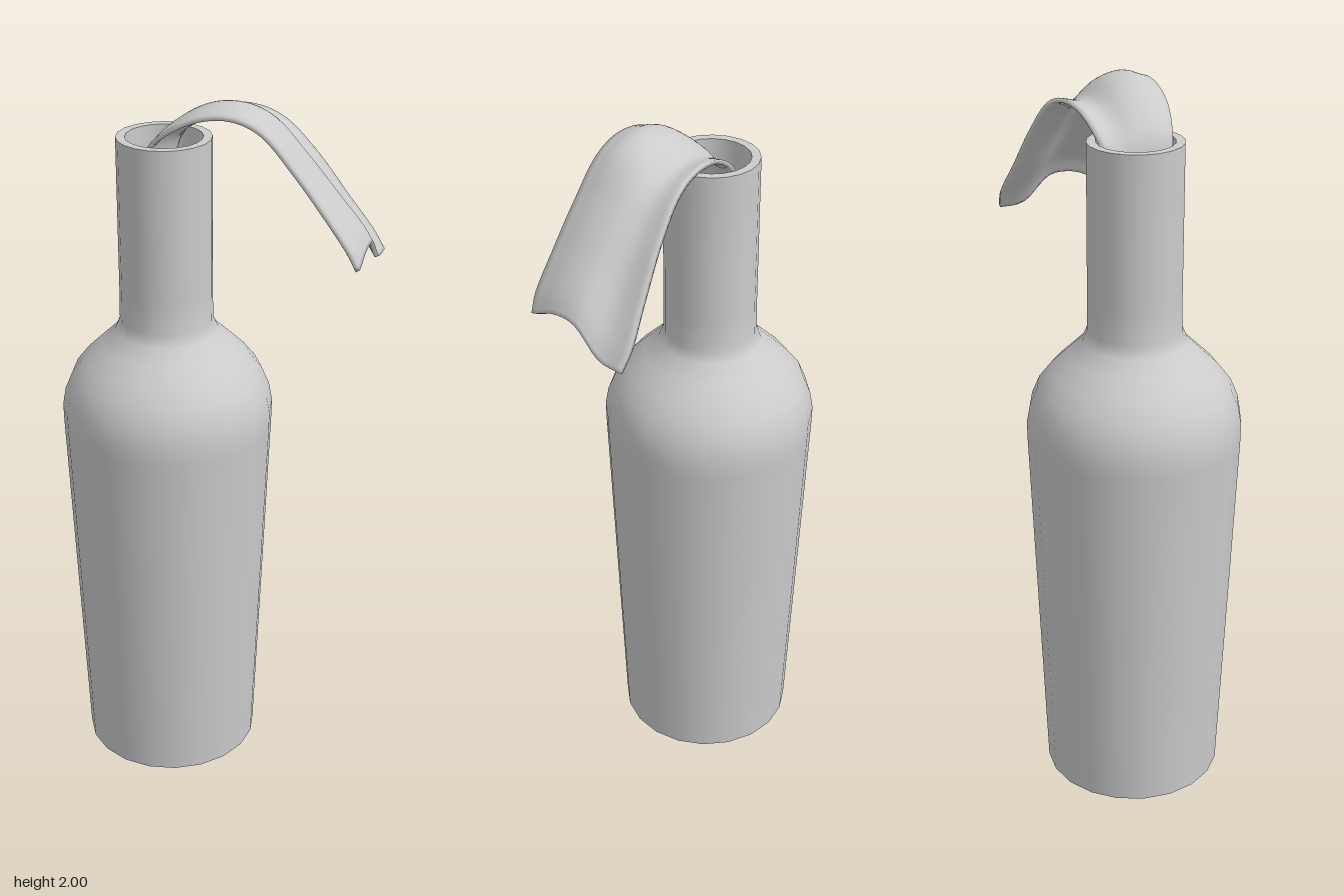
import * as THREE from 'three';

const AXIS_X = -0.137;
const material = new THREE.MeshStandardMaterial({ color: 0xcccccc });

// Lathe around the bottle axis; 20 sides with smooth shading
function turned(name, points) {
  const geometry = new THREE.LatheGeometry(points.map(([r, y]) => new THREE.Vector2(r, y)), 20);
  const mesh = new THREE.Mesh(geometry, material);
  mesh.name = name;
  mesh.position.x = AXIS_X;
  return mesh;
}

function createBottle() {
  const bottle = new THREE.Group();
  bottle.name = 'bottle';
  bottle.add(
    turned('base', [[0, 0], [0.25, 0]]),
    turned('body', [
      [0.25, 0], [0.271, 0.52], [0.292, 1.05], [0.293, 1.1], [0.284, 1.15], [0.263, 1.2],
      [0.228, 1.245], [0.182, 1.29], [0.142, 1.328], [0.128, 1.36], [0.127, 1.45], [0.127, 1.87],
    ]),
    turned('rim', [[0.127, 1.87], [0.103, 1.87]]),
    turned('neckInside', [[0.103, 1.87], [0.103, 1.32]]),
    turned('neckFloor', [[0.103, 1.32], [0, 1.32]]),
  );
  return bottle;
}

// Rag: a thin closed strip lofted along a drooping path with wavy cross-sections
function createRag() {
  // x, top y, back z, front z, fold depth, skew of x across the width
  const stations = [
    [-0.155, 1.74, -0.07, 0.07, 0.01, -0.012],
    [-0.152, 1.82, -0.08, 0.085, 0.01, -0.015],
    [-0.13, 1.885, -0.09, 0.1, 0.02, -0.016],
    [-0.06, 1.953, -0.1, 0.123, 0.04, -0.008],
    [0.01, 1.99, -0.107, 0.13, 0.058, 0],
    [0.09, 1.995, -0.113, 0.133, 0.066, 0],
    [0.16, 1.965, -0.12, 0.135, 0.066, 0],
    [0.245, 1.872, -0.132, 0.138, 0.06, 0],
    [0.33, 1.77, -0.148, 0.142, 0.075, 0],
    [0.395, 1.69, -0.162, 0.145, 0.088, -0.003],
    [0.422, 1.645, -0.156, 0.14, 0.088, -0.007],
  ];
  const pick = (a, b, c) => new THREE.CatmullRomCurve3(
    stations.map((s) => new THREE.Vector3(s[a], s[b], s[c])));
  const path = pick(0, 1, 5), widths = pick(2, 3, 4);

  // Fold height across the width, from back to front: near the neck and at the loose end
  const fold = (values) => new THREE.SplineCurve(values.map((v, i) => new THREE.Vector2(i, v)));
  const nearFold = fold([-0.8, -1, -0.3, 0, -0.3]);
  const endFold = fold([-1, -0.9, -0.15, -0.1, -0.4]);

  const rows = 48, cols = 16, ring = 2 * (cols + 1), half = 0.006;
  const positions = [], index = [];
  for (let r = 0; r <= rows; r++) {
    const u = r / rows;
    const p = path.getPoint(u), w = widths.getPoint(u), d = path.getTangent(u);
    const len = Math.hypot(d.x, d.y), nx = -d.y / len, ny = d.x / len;
    for (let k = 0; k < ring; k++) {
      const upper = k <= cols;
      const t = (upper ? k : ring - 1 - k) / cols;
      const h = THREE.MathUtils.lerp(nearFold.getPoint(t).y, endFold.getPoint(t).y, u * u) * w.z;
      const off = upper ? 0 : -2 * half;
      positions.push(
        p.x + p.z * (2 * t - 1) + nx * off,
        p.y + h + ny * off,
        THREE.MathUtils.lerp(w.x, w.y, t));
    }
  }
  for (let r = 0; r < rows; r++) {
    for (let k = 0; k < ring; k++) {
      const a = r * ring + k, b = r * ring + (k + 1) % ring;
      index.push(a, b, a + ring, b, b + ring, a + ring);
    }
  }
  // Close both ends
  const last = rows * ring;
  for (let k = 0; k < cols; k++) {
    const m = ring - 1 - k;
    index.push(k, m, k + 1, k + 1, m, m - 1);
    index.push(last + k, last + k + 1, last + m, last + k + 1, last + m - 1, last + m);
  }
  const geometry = new THREE.BufferGeometry();
  geometry.setAttribute('position', new THREE.Float32BufferAttribute(positions, 3));
  geometry.setIndex(index);
  geometry.computeVertexNormals();
  const ragMaterial = material.clone();
  ragMaterial.side = THREE.DoubleSide;
  const rag = new THREE.Mesh(geometry, ragMaterial);
  rag.name = 'rag';
  return rag;
}

export function createModel() {
  const model = new THREE.Group();
  model.name = 'bottleWithRag';
  model.add(createBottle(), createRag());
  return model;
}
